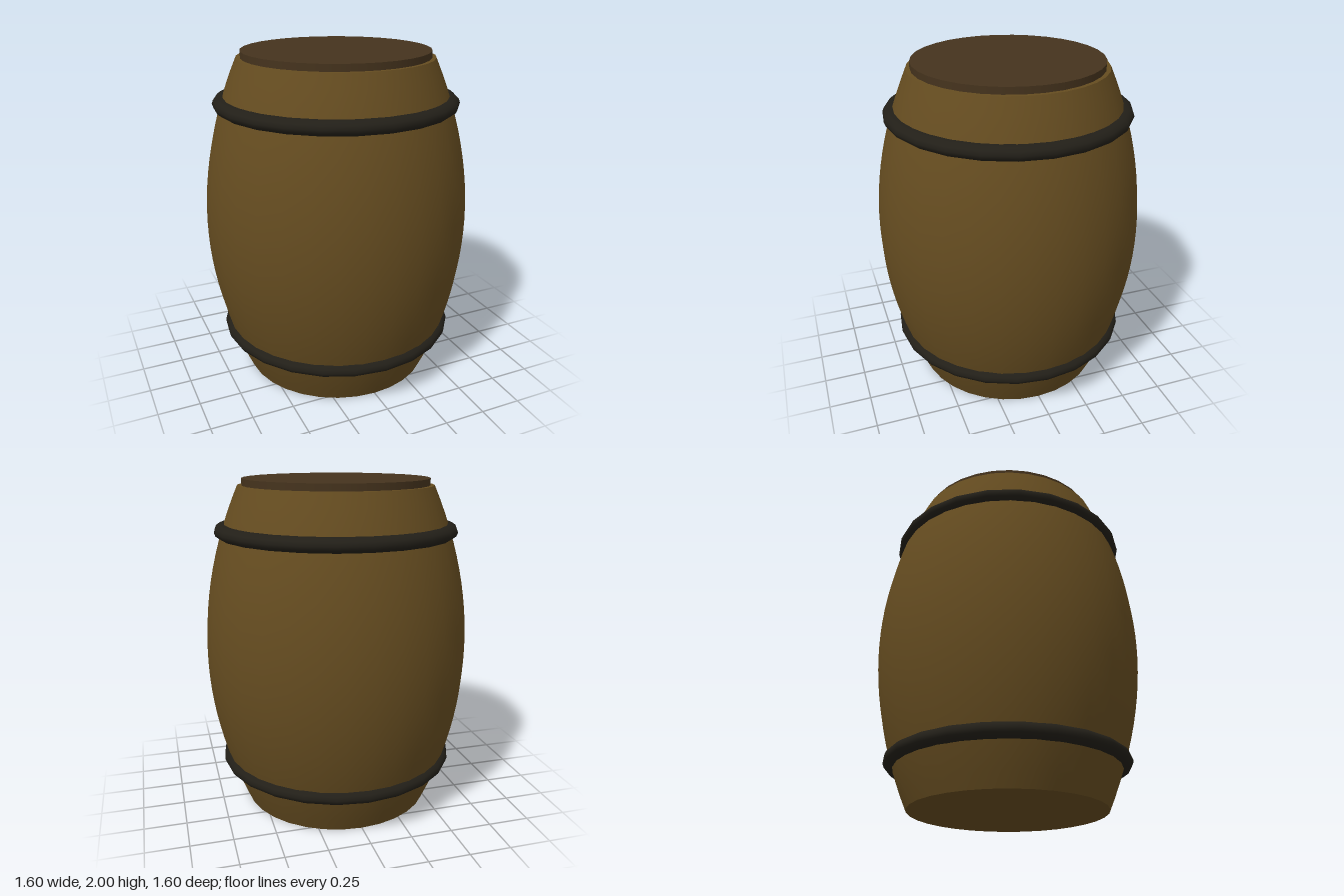
import * as THREE from 'three';

const SIDES = 32;
const BODY_HEIGHT = 1.96;
const END_RADIUS = 0.58;
const BULGE = 0.22;

export function createModel() {
  const group = new THREE.Group();
  const wood = new THREE.MeshStandardMaterial({ color: 0x654c20 });
  const lidWood = new THREE.MeshStandardMaterial({ color: 0x45331d });
  const iron = new THREE.MeshStandardMaterial({ color: 0x221f18 });

  const add = (name, geometry, material, y) => {
    const mesh = new THREE.Mesh(geometry, material);
    mesh.name = name;
    mesh.position.y = y;
    group.add(mesh);
    return mesh;
  };

  // Bulging barrel wall with a parabolic profile
  const profile = [];
  for (let i = 0; i <= 24; i++) {
    const t = i / 24;
    profile.push(new THREE.Vector2(END_RADIUS + BULGE * 4 * t * (1 - t), t * BODY_HEIGHT));
  }
  add('barrelWall', new THREE.LatheGeometry(profile, SIDES), wood, 0);

  // Flat ends, separate from the wall so the rims stay sharp
  add('barrelTop', new THREE.CircleGeometry(END_RADIUS, SIDES).rotateX(-Math.PI / 2), wood, BODY_HEIGHT);
  add('barrelBottom', new THREE.CircleGeometry(END_RADIUS, SIDES).rotateX(Math.PI / 2), wood, 0);

  // Raised lid
  add('lid', new THREE.CylinderGeometry(0.555, 0.555, 0.08, SIDES), lidWood, 1.96);

  // Iron hoops, slightly flattened in height
  for (const [name, y] of [['lowerHoop', 0.27], ['upperHoop', 1.7]]) {
    const hoop = new THREE.TorusGeometry(0.67, 0.058, 12, 24).rotateX(Math.PI / 2);
    hoop.scale(1, 0.74, 1);
    add(name, hoop, iron, y);
  }

  return group;
}
